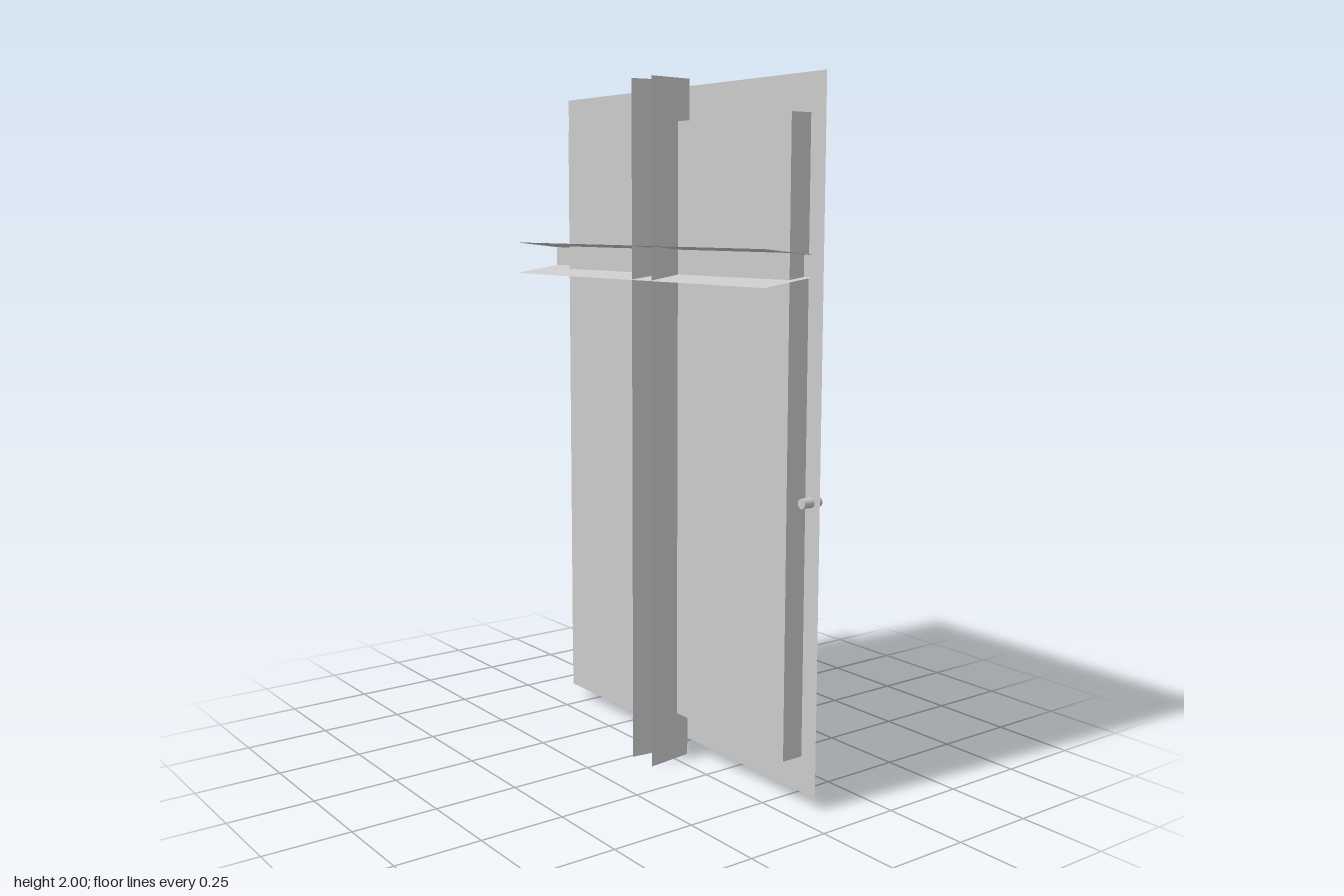
import * as THREE from 'three';

const sheet = new THREE.MeshStandardMaterial({ color: 0xcccccc, side: THREE.DoubleSide, flatShading: true });
const solid = new THREE.MeshStandardMaterial({ color: 0xcccccc });

function add(parent, name, geometry, material = sheet) {
  const mesh = new THREE.Mesh(geometry, material);
  mesh.name = name;
  parent.add(mesh);
  return mesh;
}

// Thin folded sheet spanning two matching cross-sections
function loft(a, b, closed = false) {
  const pos = [];
  const n = a.length;
  for (let i = 0; i < (closed ? n : n - 1); i++) {
    const j = (i + 1) % n;
    pos.push(...a[i], ...b[i], ...b[j], ...a[i], ...b[j], ...a[j]);
  }
  const g = new THREE.BufferGeometry();
  g.setAttribute('position', new THREE.Float32BufferAttribute(pos, 3));
  g.computeVertexNormals();
  return g;
}

// Outline in the side plane, drawn with u = -z
function rectangle(PathType, z0, z1, y0, y1) {
  return new PathType([[-z1, y0], [-z0, y0], [-z0, y1], [-z1, y1]].map(p => new THREE.Vector2(...p)));
}

export function createModel() {
  const group = new THREE.Group();
  group.name = 'framedWindow';

  const frontX = 0.077, paneX = 0.01;
  const opening = [-0.476, 0.573, 0.14, 1.88];
  const [z0, z1, y0, y1] = opening;

  // Flat border with the large opening
  const border = rectangle(THREE.Shape, -0.577, 0.63, 0.037, 1.983);
  border.holes.push(rectangle(THREE.Path, ...opening));
  add(group, 'frameBorder', new THREE.ShapeGeometry(border).rotateY(Math.PI / 2)).position.x = frontX;

  // Reveal walls running back to the pane
  const loop = x => [[x, y0, z0], [x, y1, z0], [x, y1, z1], [x, y0, z1]];
  add(group, 'frameReveal', loft(loop(frontX), loop(paneX), true));

  // Pane closing the back of the reveal
  add(group, 'pane', new THREE.ShapeGeometry(rectangle(THREE.Shape, ...opening)).rotateY(Math.PI / 2))
    .position.x = paneX;

  // Upright glazing bar: open channel with flared flanges
  const upright = y => [[-0.092, y, 0.01], [0.054, y, 0.028], [0.054, y, 0.088], [-0.092, y, 0.106]];
  add(group, 'verticalBar', loft(upright(0), upright(2)));

  // Crossbar: similar channel, with flanges slightly deeper at one end
  const crossbar = (z, back) => [[back, 1.434, z], [0.06, 1.457, z], [0.06, 1.515, z], [back, 1.532, z]];
  add(group, 'horizontalBar', loft(crossbar(-0.63, -0.092), crossbar(0.607, -0.106)));

  // Handle: round spindle and a flat tapered lever
  const handle = new THREE.Group();
  handle.name = 'handle';
  handle.position.set(0, 0.857, 0.596);
  group.add(handle);
  const spindle = new THREE.CylinderGeometry(0.014, 0.014, 0.063, 20).rotateZ(Math.PI / 2);
  add(handle, 'handleSpindle', spindle, solid).position.x = 0.0735;

  const lever = new THREE.Shape();
  lever.moveTo(0, -0.012);
  lever.lineTo(0.03, -0.008);
  lever.lineTo(0.088, -0.008);
  lever.absarc(0.088, 0, 0.008, -Math.PI / 2, Math.PI / 2, false);
  lever.lineTo(0.03, 0.008);
  lever.lineTo(0, 0.012);
  lever.closePath();
  const leverShape = new THREE.ExtrudeGeometry(lever, { depth: 0.011, bevelEnabled: false, curveSegments: 8 });
  add(handle, 'handleLever', leverShape.rotateY(Math.PI / 2), solid).position.x = 0.0935;

  return group;
}
